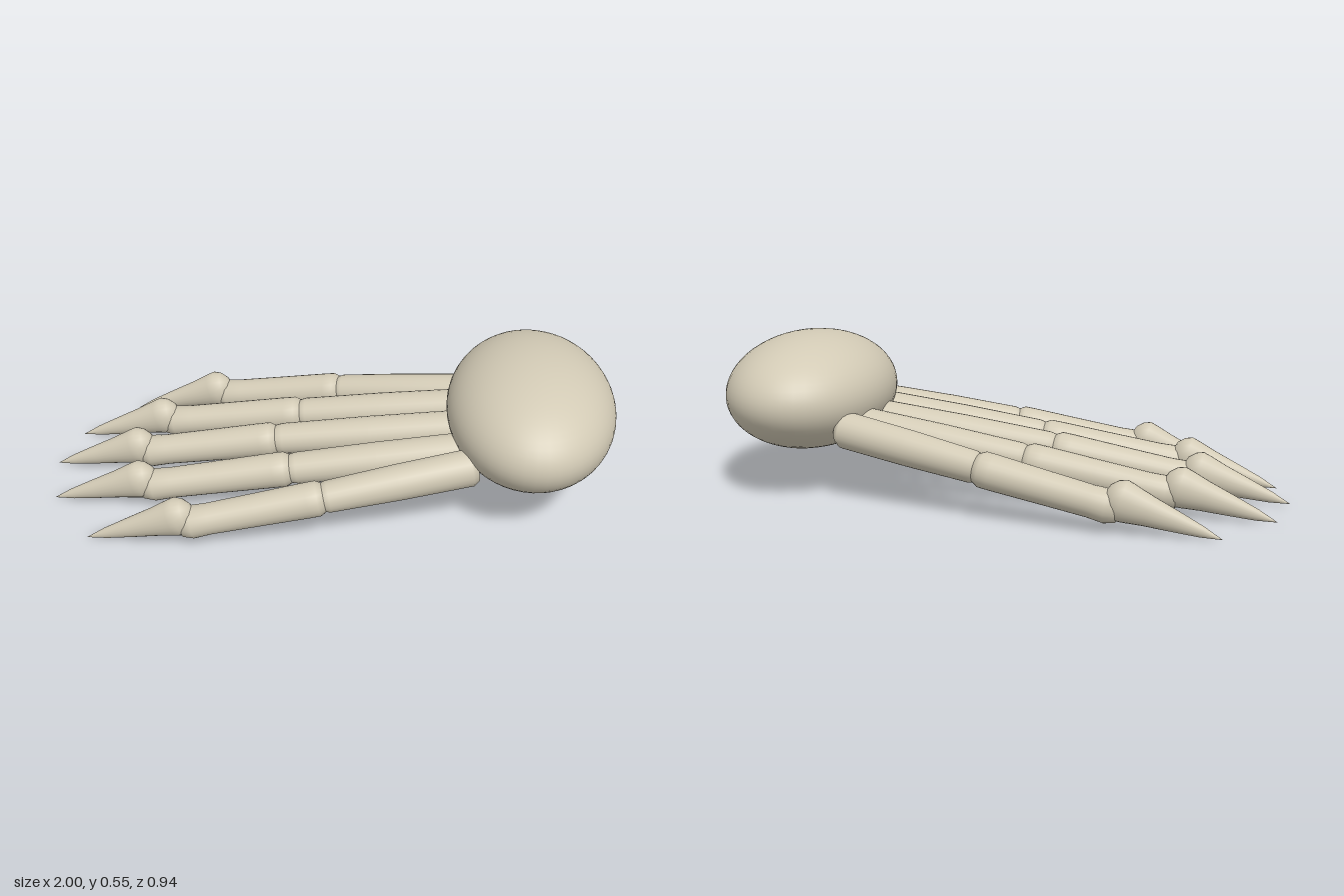
import * as THREE from 'three';

const bone = new THREE.MeshStandardMaterial({ color: 0xd2cab5 });
bone.name = 'bone';

// Round solid running from a to b; profile rows are [radius, fraction of length]
function limb(name, a, b, profile, sideScale = 1) {
  const length = a.distanceTo(b);
  const points = profile.map(([r, t]) => new THREE.Vector2(r, t * length));
  const geometry = new THREE.LatheGeometry(points, 24);
  geometry.rotateX(Math.PI / 2);
  geometry.scale(sideScale, 1, 1);
  geometry.computeVertexNormals();
  const mesh = new THREE.Mesh(geometry, bone);
  mesh.name = name;
  mesh.position.copy(a);
  mesh.lookAt(b);
  return mesh;
}

const upperProfile = [[0, -0.02], [0.05, -0.01], [0.064, 0.03], [0.062, 0.5], [0.055, 0.95], [0.045, 1.02], [0, 1.04]];
const lowerProfile = [[0, -0.06], [0.046, -0.04], [0.061, 0.02], [0.061, 0.1], [0.057, 0.5], [0.054, 0.85], [0.057, 0.98], [0.045, 1.06], [0, 1.08]];
const clawProfile = [[0, -0.14], [0.038, -0.11], [0.06, -0.05], [0.071, 0.02], [0.066, 0.1], [0.052, 0.28], [0.036, 0.54], [0.019, 0.8], [0, 1]];

// Root, joint, knuckle and tip of each toe
const toes = [
  { name: 'middleToe', sides: [1], path: [[0.5, 0.26, 0], [-0.19, 0.17, 0], [-0.65, 0.09, 0], [-1, 0.015, 0]] },
  { name: 'innerToe', sides: [1, -1], path: [[0.5, 0.26, 0.143], [-0.12, 0.17, 0.18], [-0.6, 0.09, 0.208], [-0.957, 0.01, 0.205]] },
  { name: 'outerToe', sides: [1, -1], path: [[0.52, 0.262, 0.242], [0.01, 0.178, 0.35], [-0.43, 0.093, 0.412], [-0.787, 0.008, 0.417]] },
];

export function createModel() {
  const model = new THREE.Group();
  model.name = 'clawedFoot';

  // Egg-shaped heel
  const heel = new THREE.Mesh(new THREE.SphereGeometry(1, 48, 32).scale(0.29, 0.207, 0.415), bone);
  heel.name = 'heel';
  heel.position.set(0.708, 0.355, 0);
  model.add(heel);

  // Five toes, each with two segments and a claw
  for (const { name, sides, path } of toes) {
    for (const side of sides) {
      const [root, joint, knuckle, tip] = path.map(([x, y, z]) => new THREE.Vector3(x, y, z * side));
      const clawBase = knuckle.clone().add(new THREE.Vector3(-0.025, 0.026, 0));
      const toe = new THREE.Group();
      toe.name = name;
      toe.add(
        limb('upperSegment', root, joint, upperProfile),
        limb('lowerSegment', joint, knuckle, lowerProfile),
        limb('claw', clawBase, tip, clawProfile, 0.8),
      );
      model.add(toe);
    }
  }
  return model;
}
